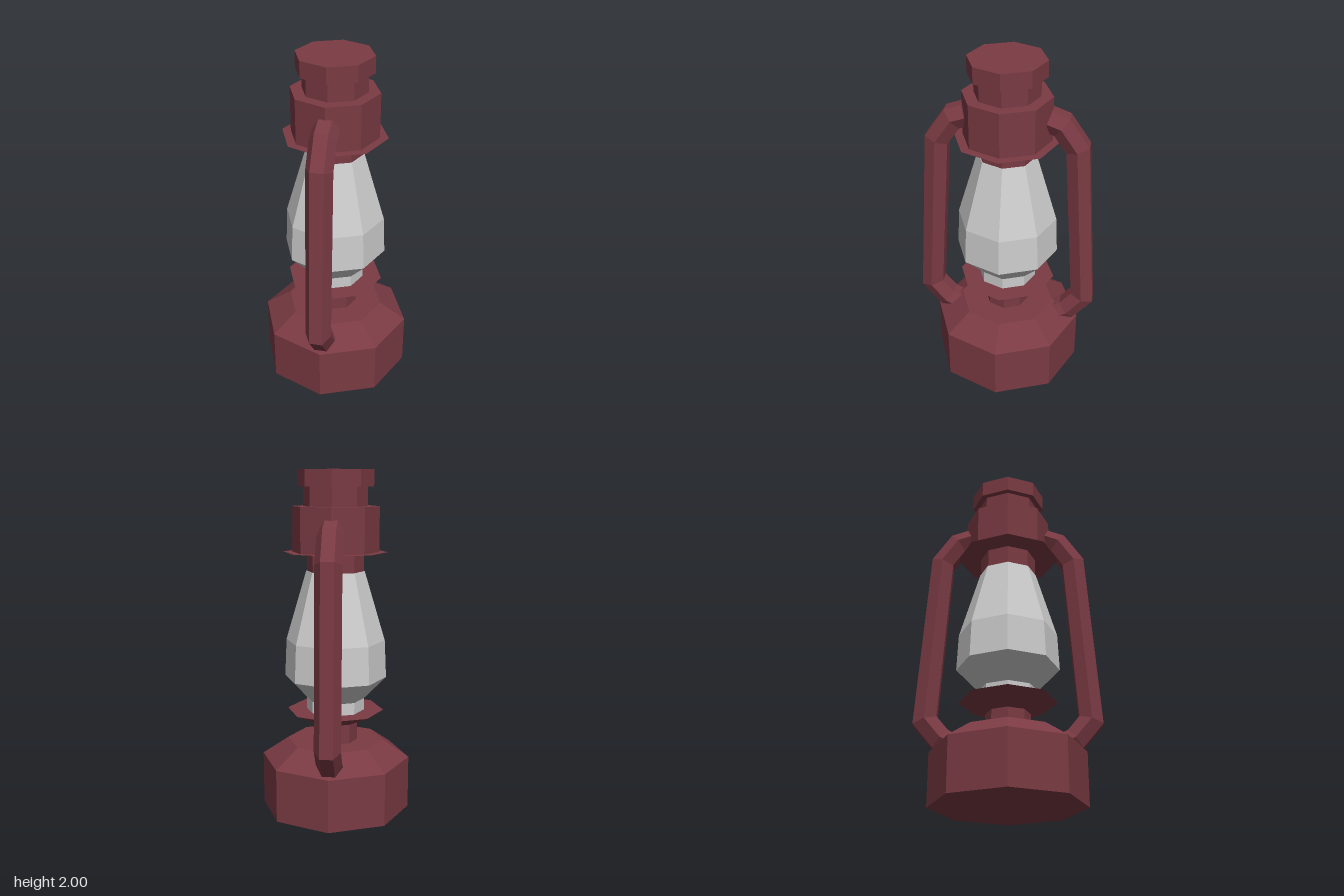
import * as THREE from 'three';

const red = new THREE.MeshStandardMaterial({ color: 0x7a3a43, flatShading: true });
const grey = new THREE.MeshStandardMaterial({ color: 0xcccccc, flatShading: true });
const thinRed = red.clone();
thinRed.side = THREE.DoubleSide;

// Octagonal turned part; profile is [radius, y] from bottom to top
function turned(name, profile, material = red) {
  const points = profile.map(([r, y]) => new THREE.Vector2(r, y));
  const mesh = new THREE.Mesh(new THREE.LatheGeometry(points, 8), material);
  mesh.name = name;
  return mesh;
}

// Mitred hexagonal bar swept along a [z, y] path, with closed ends
function hexBar(path, radius) {
  const pts = path.map(([z, y]) => new THREE.Vector2(z, y));
  const last = pts.length - 1;
  const positions = [], index = [];
  pts.forEach((p, i) => {
    const before = p.clone().sub(pts[Math.max(i - 1, 0)]).normalize();
    const after = pts[Math.min(i + 1, last)].clone().sub(p).normalize();
    const t = before.clone().add(after).normalize();
    const miter = 1 / t.dot(i < last ? after : before);
    for (let k = 0; k < 6; k++) {
      const a = (k * Math.PI) / 3;
      const out = radius * Math.sin(a) * miter;
      positions.push(-radius * Math.cos(a), p.y - t.x * out, p.x + t.y * out);
      if (i < last) {
        const j = (k + 1) % 6, b = i * 6;
        index.push(b + k, b + j, b + 6 + j, b + k, b + 6 + j, b + 6 + k);
      }
    }
  });
  for (let k = 1; k < 5; k++) {
    index.push(0, k + 1, k);
    index.push(last * 6, last * 6 + k, last * 6 + k + 1);
  }
  const geometry = new THREE.BufferGeometry();
  geometry.setAttribute('position', new THREE.Float32BufferAttribute(positions, 3));
  geometry.setIndex(index);
  geometry.computeVertexNormals();
  return geometry;
}

export function createModel() {
  const lantern = new THREE.Group();
  lantern.name = 'lantern';

  // Fuel tank, burner and glass
  lantern.add(
    turned('fuelTank', [[0, 0], [0.44, 0], [0.44, 0.31], [0.285, 0.415], [0, 0.415]]),
    turned('burnerStem', [[0.13, 0.41], [0.13, 0.54]]),
    turned('burnerPlate', [[0, 0.52], [0.11, 0.52], [0.285, 0.6], [0, 0.6]]),
    turned('glassGlobe', [[0.172, 0.6], [0.172, 0.67], [0.3, 0.8], [0.29, 1.02], [0.17, 1.425], [0, 1.425]], grey),
  );

  // Chimney: collar, thin brim, drum, neck and cap
  lantern.add(
    turned('collar', [[0, 1.425], [0.166, 1.425], [0.166, 1.54]]),
    turned('brim', [[0.15, 1.535], [0.303, 1.535]], thinRed),
    turned('drum', [[0, 1.536], [0.253, 1.536], [0.253, 1.795], [0, 1.795]]),
    turned('neck', [[0.185, 1.79], [0.185, 1.91]]),
    turned('cap', [[0, 1.905], [0.22, 1.905], [0.22, 2], [0, 2]]),
  );

  // Side bars, front and back
  const bar = hexBar([
    [0.26, 0.315], [0.375, 0.375], [0.466, 0.485],
    [0.397, 1.5], [0.305, 1.635], [0.225, 1.664],
  ], 0.075);
  ['frontBar', 'backBar'].forEach((name, i) => {
    const mesh = new THREE.Mesh(bar, red);
    mesh.name = name;
    mesh.rotation.y = i * Math.PI;
    lantern.add(mesh);
  });

  return lantern;
}
